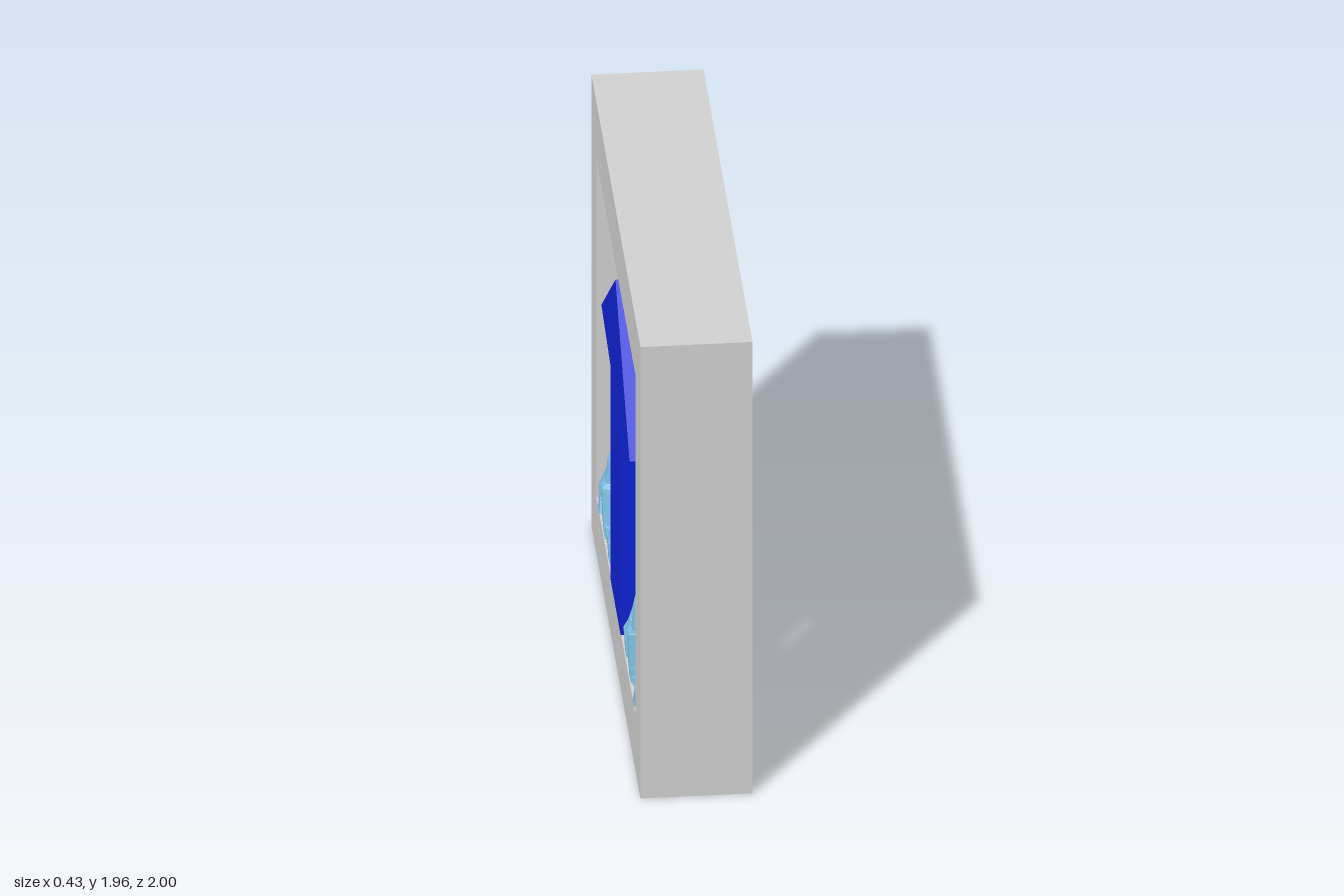
import * as THREE from 'three';

const stone = new THREE.MeshStandardMaterial({ color: 0xd0d0d0 });
stone.name = 'pale grey';
const blue = new THREE.MeshStandardMaterial({ color: 0x0e23d4 });
blue.name = 'deep blue';
const ice = new THREE.MeshStandardMaterial({ color: 0x80c0e4, flatShading: true });
ice.name = 'light blue';

// Outline drawn in the z-y plane, extruded along x and centred
function slab(name, shape, depth, material) {
  const geo = new THREE.ExtrudeGeometry(shape, { depth, bevelEnabled: false });
  geo.translate(0, 0, -depth / 2).rotateY(Math.PI / 2);
  const mesh = new THREE.Mesh(geo, material);
  mesh.name = name;
  return mesh;
}

const outline = (pts) => pts.map(([x, y]) => new THREE.Vector2(x, y));

// Flame tongues: rows of [height, inner z, outer z, half depth in x]
const FLAMES = {
  outerFlame: [
    [0.24, 0.62, 0.8, 0.21], [0.3, 0.655, 0.8, 0.205], [0.33, 0.665, 0.785, 0.21], [0.45, 0.675, 0.74, 0.17],
    [0.47, 0.67, 0.735, 0.175], [0.54, 0.685, 0.745, 0.14], [0.6, 0.69, 0.73, 0.1], [0.66, 0.703, 0.718, 0.04],
  ],
  tallFlame: [
    [0.24, 0.42, 0.64, 0.205], [0.3, 0.435, 0.63, 0.21], [0.45, 0.47, 0.604, 0.215], [0.47, 0.475, 0.604, 0.2],
    [0.56, 0.475, 0.604, 0.19], [0.63, 0.485, 0.57, 0.15], [0.69, 0.478, 0.565, 0.155], [0.73, 0.508, 0.583, 0.1],
    [0.8, 0.525, 0.563, 0.08], [0.835, 0.53, 0.555, 0.05], [0.855, 0.515, 0.53, 0.02],
  ],
  innerFlame: [
    [0.24, 0.25, 0.45, 0.205], [0.33, 0.283, 0.417, 0.21], [0.4, 0.3, 0.4, 0.19], [0.43, 0.305, 0.385, 0.18],
    [0.52, 0.294, 0.397, 0.16], [0.56, 0.297, 0.4, 0.13], [0.62, 0.337, 0.374, 0.08], [0.68, 0.335, 0.355, 0.05],
    [0.705, 0.345, 0.358, 0.02],
  ],
  smallFlame: [
    [0.24, 0.2, 0.34, 0.2], [0.3, 0.21, 0.32, 0.205], [0.36, 0.22, 0.3, 0.17], [0.41, 0.246, 0.294, 0.15],
    [0.46, 0.25, 0.28, 0.1], [0.525, 0.257, 0.27, 0.03],
  ],
  emberBed: [
    [0.24, 0.2, 0.8, 0.2], [0.27, 0.2, 0.795, 0.2], [0.295, 0.22, 0.77, 0.17],
  ],
};

// Eight-sided loft through the rows, capped at both ends
const CORNERS = [[1, 0.35], [0.5, 1], [-0.4, 1], [-1, 0.25], [-1, -0.35], [-0.5, -1], [0.4, -1], [1, -0.25]];
function flame(name, rows, side) {
  const pos = [], idx = [], n = CORNERS.length;
  rows.forEach(([y, z0, z1, d], r) => {
    const mid = (z0 + z1) / 2, half = (z1 - z0) / 2;
    const twist = r % 2 ? 0.012 : -0.012;
    CORNERS.forEach(([cx, cz]) => {
      const shift = Math.abs(cx) === 1 ? 0 : twist;
      pos.push(cx * d + shift, y, side * (mid + cz * half));
    });
  });
  const tri = (a, b, c) => (side > 0 ? idx.push(a, c, b) : idx.push(a, b, c));
  for (let r = 0; r < rows.length - 1; r++) {
    for (let i = 0; i < n; i++) {
      const a = r * n + i, b = r * n + (i + 1) % n;
      tri(a, b, a + n);
      tri(b, b + n, a + n);
    }
  }
  const top = (rows.length - 1) * n;
  for (let i = 1; i < n - 1; i++) {
    tri(0, i + 1, i);
    tri(top, top + i, top + i + 1);
  }
  const indexed = new THREE.BufferGeometry();
  indexed.setAttribute('position', new THREE.Float32BufferAttribute(pos, 3));
  indexed.setIndex(idx);
  const geo = indexed.toNonIndexed();
  geo.computeVertexNormals();
  const mesh = new THREE.Mesh(geo, ice);
  mesh.name = name;
  return mesh;
}

export function createModel() {
  const model = new THREE.Group();
  model.name = 'framedArrow';

  // Square frame with an open window
  const frame = new THREE.Shape(outline([[-1, 0], [1, 0], [1, 1.96], [-1, 1.96]]));
  frame.holes.push(new THREE.Path(outline([[-0.803, 0.243], [-0.803, 1.717], [0.803, 1.717], [0.803, 0.243]])));
  model.add(slab('frame', frame, 0.42, stone));

  // Upward arrow standing on the sill
  const arrow = new THREE.Shape(outline([
    [-0.21, 0.243], [0.21, 0.243], [0.21, 1.17], [0.575, 1.212], [0, 1.662], [-0.575, 1.212], [-0.21, 1.17],
  ]));
  model.add(slab('arrow', arrow, 0.424, blue));

  // Flames mirrored on both sides of the arrow
  for (const side of [1, -1]) {
    const cluster = new THREE.Group();
    cluster.name = side > 0 ? 'frontFlames' : 'backFlames';
    for (const [name, rows] of Object.entries(FLAMES)) cluster.add(flame(name, rows, side));
    model.add(cluster);
  }
  return model;
}
